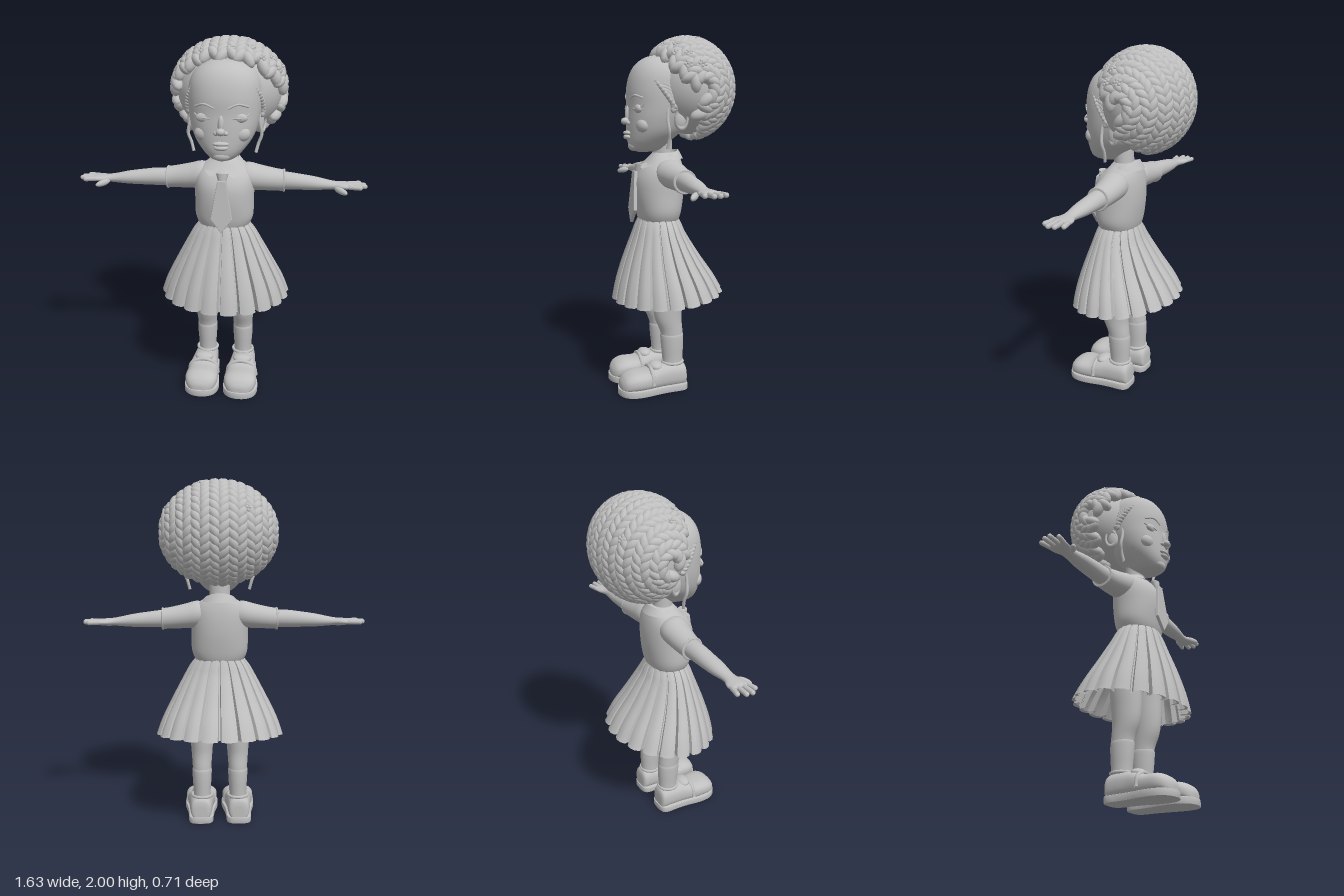
import * as THREE from 'three';
import { mergeGeometries, toCreasedNormals } from 'three/addons/utils/BufferGeometryUtils.js';

const clay = new THREE.MeshStandardMaterial({ color: 0xbfbfbf, side: THREE.DoubleSide });
clay.name = 'clay grey';
const CX = 0.027; // middle of the body
const V = (x, y, z) => new THREE.Vector3(x, y, z);

// Catmull-Rom interpolation of rows of numbers
function refine(rows, sub) {
  const out = [];
  for (let i = 0; i < rows.length - 1; i++) {
    const [p, a, b, q] = [rows[Math.max(i - 1, 0)], rows[i], rows[i + 1], rows[Math.min(i + 2, rows.length - 1)]];
    for (let k = 0; k < sub; k++) {
      const t = k / sub;
      out.push(a.map((_, j) => {
        const cubic = 3 * (a[j] - b[j]) + q[j] - p[j];
        const square = 2 * p[j] - 5 * a[j] + 4 * b[j] - q[j];
        return a[j] + 0.5 * t * (b[j] - p[j] + t * (square + t * cubic));
      }));
    }
  }
  out.push(rows[rows.length - 1]);
  return out;
}

// Skin a grid of points; columns may close on themselves, ends may be capped
function skin(grid, closed, capped) {
  const n = grid[0].length, m = grid.length, pts = grid.flat(), idx = [];
  for (let i = 0; i < m - 1; i++) for (let j = 0; j < (closed ? n : n - 1); j++) {
    const a = i * n + j, b = i * n + (j + 1) % n;
    idx.push(a, a + n, b, b, a + n, b + n);
  }
  if (capped) for (const [row, flip] of [[0, false], [m - 1, true]]) {
    const c = pts.length, mid = V(0, 0, 0);
    grid[row].forEach(p => mid.addScaledVector(p, 1 / n));
    pts.push(mid);
    for (let j = 0; j < n; j++) {
      const a = row * n + j, b = row * n + (j + 1) % n;
      if (flip) idx.push(c, b, a);
      else idx.push(c, a, b);
    }
  }
  let vol = 0;
  for (let i = 0; i < idx.length; i += 3) {
    const [a, b, c] = [pts[idx[i]], pts[idx[i + 1]], pts[idx[i + 2]]];
    vol += a.dot(b.clone().cross(c));
  }
  if (vol < 0) idx.reverse();
  const g = new THREE.BufferGeometry().setFromPoints(pts);
  g.setIndex(idx);
  g.computeVertexNormals();
  return g;
}

// Loft of oval sections [position, centre a, centre b, radius a, radius b] along an axis
function loft(axis, secs, pow = 2, n = 32) {
  const se = v => Math.sign(v) * Math.abs(v) ** (2 / pow);
  const grid = refine(secs, 5).map(([t, a, b, ra, rb]) => Array.from({ length: n }, (_, j) => {
    const w = j / n * Math.PI * 2, p = a + ra * se(Math.cos(w)), q = b + rb * se(Math.sin(w));
    return axis === 'x' ? V(t, p, q) : axis === 'y' ? V(p, t, q) : V(p, q, t);
  }));
  return skin(grid, true, true);
}

// Ellipsoid whose local axes are given by a quaternion
function blob(pos, size, quat = new THREE.Quaternion(), w = 20, h = 14) {
  return new THREE.SphereGeometry(1, w, h).applyMatrix4(new THREE.Matrix4().compose(pos, quat, size));
}
const tube = (pts, r) => new THREE.TubeGeometry(new THREE.CatmullRomCurve3(pts), 24, r, 8);
function frame(along, normal) {
  const t = along.clone().normalize(), b = normal.clone().cross(t).normalize();
  return new THREE.Quaternion().setFromRotationMatrix(new THREE.Matrix4().makeBasis(t, b, t.clone().cross(b)));
}

export function createModel() {
  const model = new THREE.Group();
  const add = (name, geo) => {
    const m = new THREE.Mesh(geo, clay);
    m.name = name;
    model.add(m);
  };

  // Head: [height, half width, front z, back z]
  const skull = [[1.365, .03, .2, .12], [1.38, .07, .235, .06], [1.42, .112, .252, .02], [1.48, .157, .256, -.05],
    [1.55, .183, .256, -.09], [1.62, .196, .253, -.12], [1.7, .2, .254, -.14], [1.78, .19, .238, -.13],
    [1.84, .155, .205, -.1], [1.88, .09, .15, -.04], [1.892, .02, .09, .04]];
  add('head', loft('y', skull.map(([y, w, f, b]) => [y, CX, (f + b) / 2, w, (f - b) / 2]), 2.15, 40));
  add('neck', loft('y', [[1.27, CX, .05, .07, .065], [1.34, CX, .052, .06, .056], [1.44, CX, .06, .062, .06]]));

  // Face
  add('noseBridge', blob(V(CX, 1.57, .25), V(.017, .05, .02)));
  add('noseTip', blob(V(CX, 1.535, .268), V(.025, .02, .025)));
  add('upperLip', blob(V(CX, 1.47, .256), V(.045, .013, .022)));
  add('lowerLip', blob(V(CX, 1.448, .254), V(.038, .015, .024)));
  add('chin', blob(V(CX, 1.4, .222), V(.05, .03, .03)));
  for (const s of [1, -1]) {
    const at = (x, y, z) => V(CX + s * x, y, z);
    add('nostril', blob(at(.025, 1.526, .252), V(.015, .013, .018)));
    add('eyelid', blob(at(.092, 1.603, .222), V(.045, .026, .02)));
    add('lashes', tube([at(.05, 1.6, .242), at(.09, 1.603, .243), at(.12, 1.607, .228), at(.147, 1.622, .205)], .004));
    add('eyebrow', tube([at(.035, 1.655, .25), at(.09, 1.675, .238), at(.14, 1.66, .206)], .006));
    add('cheek', blob(at(.095, 1.515, .195), V(.055, .045, .04)));
    add('ear', blob(at(.188, 1.545, .015), V(.022, .055, .034)));
    add('earRim', new THREE.TorusGeometry(.038, .009, 8, 24).scale(.8, 1.35, 1).rotateY(Math.PI / 2 - s * .35).translate(CX + s * .203, 1.55, .01));
    add('looseCurl', tube([at(.185, 1.61, .08), at(.193, 1.55, .085), at(.202, 1.49, .08), at(.185, 1.44, .075), at(.172, 1.39, .08)], .009));
  }

  // Hair mass: a smooth core covered with plaits that run from the brow to the nape
  const HC = V(.034, 1.71, -.08), HR = V(.335, .29, .265);
  const hairDir = (a, p) => V(Math.sin(a), Math.cos(a) * Math.sin(p), Math.cos(a) * Math.cos(p));
  const onHair = (a, p, k) => hairDir(a, p).multiply(HR).multiplyScalar(k).add(HC);
  const hairNormal = (a, p) => hairDir(a, p).divide(HR).normalize();
  add('hairCore', blob(V(.034, 1.71, -.095), V(.295, .252, .225), undefined, 40, 28));
  const plaits = [];
  for (let row = -4; row <= 4; row++) for (const side of [-1, 1]) {
    const a = row * .315 + side * .078, step = .165 / Math.max(Math.cos(a), .25);
    for (let p = .2 + (side > 0 ? step / 2 : 0); p < 4.95; p += step) {
      const c = onHair(a, p, .9);
      if (c.z > .1 - (1.95 - c.y) * .43 || (c.y < 1.53 && c.z > -.11)) continue;
      const along = onHair(a, p + .05, 1).sub(onHair(a, p - .05, 1)).normalize();
      const across = onHair(a + .05, p, 1).sub(onHair(a - .05, p, 1)).normalize();
      along.addScaledVector(across, -side * .6);
      plaits.push(blob(c, V(.055, .03, .034), frame(along, hairNormal(a, p)), 10, 8));
    }
  }
  add('plaits', mergeGeometries(plaits));

  // Fine braids behind the hairline
  const EC = V(CX, 1.63, .06), ER = V(.203, .255, .206), fine = [];
  for (let r = 0; r < 6; r++) for (let i = 0; i <= 36; i++) {
    const a = (i / 36 - .5) * 3.3 + (r % 2) * .045, b = .86 + r * .13;
    const d = hairDir(a, b), c = d.clone().multiply(ER).add(EC);
    const along = V(Math.cos(a), -Math.sin(a) * Math.sin(b), -Math.sin(a) * Math.cos(b)).add(V(0, r % 2 ? .6 : -.6, 0));
    along.addScaledVector(d, -along.dot(d));
    fine.push(blob(c, V(.019, .014, r ? .014 : .019), frame(along, d), 8, 6));
  }
  add('hairlineBraids', mergeGeometries(fine));

  // Small flowers pinned in the hair
  for (const [a, p] of [[-.42, 1.05], [.08, 1.0], [.4, 1.15], [.62, .95], [.8, 1.2], [1.0, .95], [1.1, 1.5], [.3, 1.75], [-.75, 1.3], [-.5, 2.6]]) {
    const n = hairNormal(a, p), up = V(0, 1, .3);
    const q = frame(up.addScaledVector(n, -up.dot(n)), n), c = onHair(a, p, .99);
    const bits = [blob(c, V(.009, .009, .011), q, 8, 6)];
    for (let k = 0; k < 5; k++) {
      const w = k * Math.PI * .4;
      bits.push(blob(V(Math.cos(w) * .015, Math.sin(w) * .015, 0).applyQuaternion(q).add(c), V(.01, .01, .007), q, 8, 6));
    }
    add('hairFlower', mergeGeometries(bits));
  }

  // Shirt
  add('shirt', loft('y', [[.965, CX, .08, .125, .1], [.99, CX, .08, .146, .113], [1.04, CX, .08, .163, .125], [1.13, CX, .08, .165, .138],
    [1.21, CX, .077, .166, .138], [1.27, CX, .066, .158, .122], [1.315, CX, .05, .125, .096], [1.345, CX, .042, .08, .078], [1.36, CX, .042, .06, .066]], 2.2, 40));
  // Collar strip, folded over and pointed at the front
  const collar = [0, 1, 2, 3].map(r => Array.from({ length: 41 }, (_, j) => {
    const w = .12 + j / 40 * (Math.PI * 2 - .24), front = (1 + Math.cos(w)) / 2;
    const tip = Math.max(0, Math.cos(w)) ** 2 * Math.min(1, .35 + Math.abs(Math.sin(w)) * 1.6);
    const rad = [.07, .076, .083, .108 + .066 * tip][r];
    const y = [1.32, 1.375 - .055 * front, 1.373 - .055 * front, 1.325 - .06 * tip][r];
    return V(CX + Math.sin(w) * rad, y, .045 + Math.cos(w) * rad);
  }));
  add('collar', toCreasedNormals(skin(collar, false, false), .7));

  // Tie
  const blade = new THREE.Shape([[-.02, .28], [.02, .28], [.056, .07], [0, 0], [-.056, .07]].map(p => new THREE.Vector2(...p)));
  add('tieBlade', new THREE.ExtrudeGeometry(blade, { depth: .012, bevelSize: .004, bevelThickness: .004, bevelSegments: 2 })
    .rotateX(-.07).translate(CX, .975, .23));
  add('tieKnot', new THREE.CylinderGeometry(.034, .02, .05, 12).scale(1, 1, .7).rotateX(-.25).translate(CX, 1.268, .196));

  // Skirt: pleated sections [height, centre z, radius x, radius z, pleat depth]
  const pleat = [[0, -1], [.05, .55], [.3, 1], [.6, .95], [.86, .5], [.91, -1]], N = 20;
  const skirt = refine([[1.0, .08, .13, .105, .003], [.95, .08, .168, .125, .006], [.89, .078, .2, .146, .009],
    [.76, .064, .262, .202, .017], [.64, .044, .316, .255, .023], [.545, .03, .347, .288, .026]], 4);
  const skirtGrid = skirt.map(([y, cz, rx, rz, d], i) => Array.from({ length: N * 6 }, (_, j) => {
    const [f, h] = pleat[j % 6], w = (Math.floor(j / 6) + f) / N * Math.PI * 2;
    const k = i / (skirt.length - 1);
    return V(CX + Math.sin(w) * (rx + d * h), y - .028 * k * k * Math.cos(w), cz + Math.cos(w) * (rz + d * h));
  }));
  const hem = skirtGrid[skirtGrid.length - 1].map(p => V(CX + (p.x - CX) * .95, p.y + .006, .03 + (p.z - .03) * .95));
  add('pleatedSkirt', toCreasedNormals(skin([...skirtGrid, hem], true, false), .6));

  for (const s of [1, -1]) {
    // Sleeve follows the body; arm and hand mirror about x = 0
    const X = rows => rows.map(([x, ...r]) => [s * x, ...r]);
    const sx = CX * s;
    add('sleeve', loft('x', X([[.07 + sx, 1.25, .05, .06, .07], [.13 + sx, 1.25, .05, .077, .085], [.2 + sx, 1.24, .043, .071, .078],
      [.28 + sx, 1.23, .037, .063, .068], [.333 + sx, 1.225, .036, .06, .064]])));
    add('cuff', new THREE.TorusGeometry(.06, .006, 8, 32).rotateY(Math.PI / 2).translate(CX + s * .328, 1.225, .036));
    add('arm', loft('x', X([[.26, 1.227, .037, .05, .054], [.36, 1.225, .036, .05, .052], [.45, 1.22, .036, .044, .05], [.53, 1.215, .037, .037, .046],
      [.6, 1.21, .038, .027, .037], [.64, 1.208, .037, .022, .038], [.68, 1.207, .035, .02, .053], [.72, 1.207, .034, .017, .056], [.735, 1.207, .034, .01, .05]])));
    const digits = [[.71, -.008, .778, -.022], [.715, .021, .802, .017], [.715, .05, .806, .052], [.71, .076, .778, .089]];
    for (const [x0, z0, x1, z1] of digits) add('finger', new THREE.CapsuleGeometry(.0135, Math.hypot(x1 - x0, z1 - z0) - .012, 5, 12)
      .rotateZ(-Math.PI / 2 * s).rotateY(-s * Math.atan2(z1 - z0, x1 - x0)).translate(s * (x0 + x1) / 2, 1.208, (z0 + z1) / 2));
    add('thumb', blob(V(s * .668, 1.192, .1), V(.045, .016, .018), frame(V(s * .8, -.2, .65), V(0, 1, 0))));

    // Leg and knee sock
    const lx = CX + s * .107;
    add('leg', loft('y', [[.08, lx, .03, .05, .055], [.18, lx, .03, .048, .056], [.26, lx, .032, .053, .062], [.34, lx, .036, .056, .065],
      [.42, lx, .055, .062, .077], [.5, lx, .058, .068, .086], [.65, lx, .055, .078, .092], [.85, lx - s * .02, .06, .08, .09]]));
    add('sock', loft('y', [[.1, lx, .03, .052, .058], [.18, lx, .03, .051, .059], [.26, lx, .032, .056, .065], [.315, lx, .034, .058, .067], [.33, lx, .035, .055, .064]]));

    // Shoe: [z, half width, top height]
    const fx = CX + s * .113;
    const upper = [[-.043, .035, .11], [-.03, .06, .15], [.03, .069, .162], [.1, .075, .16], [.15, .083, .15], [.2, .09, .132],
      [.27, .094, .13], [.315, .08, .112], [.338, .05, .085], [.345, .02, .065]];
    add('shoe', loft('z', upper.map(([z, w, t]) => [z, fx, (t + .02) / 2, w, (t - .02) / 2]), 2.5));
    const half = [[0, -.047], [.045, -.042], [.068, -.015], [.072, .06], [.08, .13], [.096, .22], [.092, .29], [.06, .335], [0, .352]];
    const outline = [...half, ...half.slice(1, -1).reverse().map(([x, z]) => [-x, z])].map(([x, z]) => new THREE.Vector2(x, -z));
    const sole = new THREE.Shape(new THREE.SplineCurve([...outline, outline[0]]).getPoints(48));
    add('sole', toCreasedNormals(new THREE.ExtrudeGeometry(sole, { depth: .028, bevelSize: .003, bevelThickness: .005, bevelSegments: 2 })
      .rotateX(-Math.PI / 2).translate(fx, .008, 0), .7));
    add('shoeOpening', new THREE.TorusGeometry(.058, .009, 8, 32).rotateX(Math.PI / 2).translate(lx, .16, .03));
    add('shoeTongue', blob(V(fx, .148, .135), V(.055, .025, .04)));
    add('instepBand', tube([V(fx - .085, .06, .17), V(fx - .07, .118, .17), V(fx, .147, .17), V(fx + .07, .118, .17), V(fx + .085, .06, .17)], .012));
  }
  return model;
}
